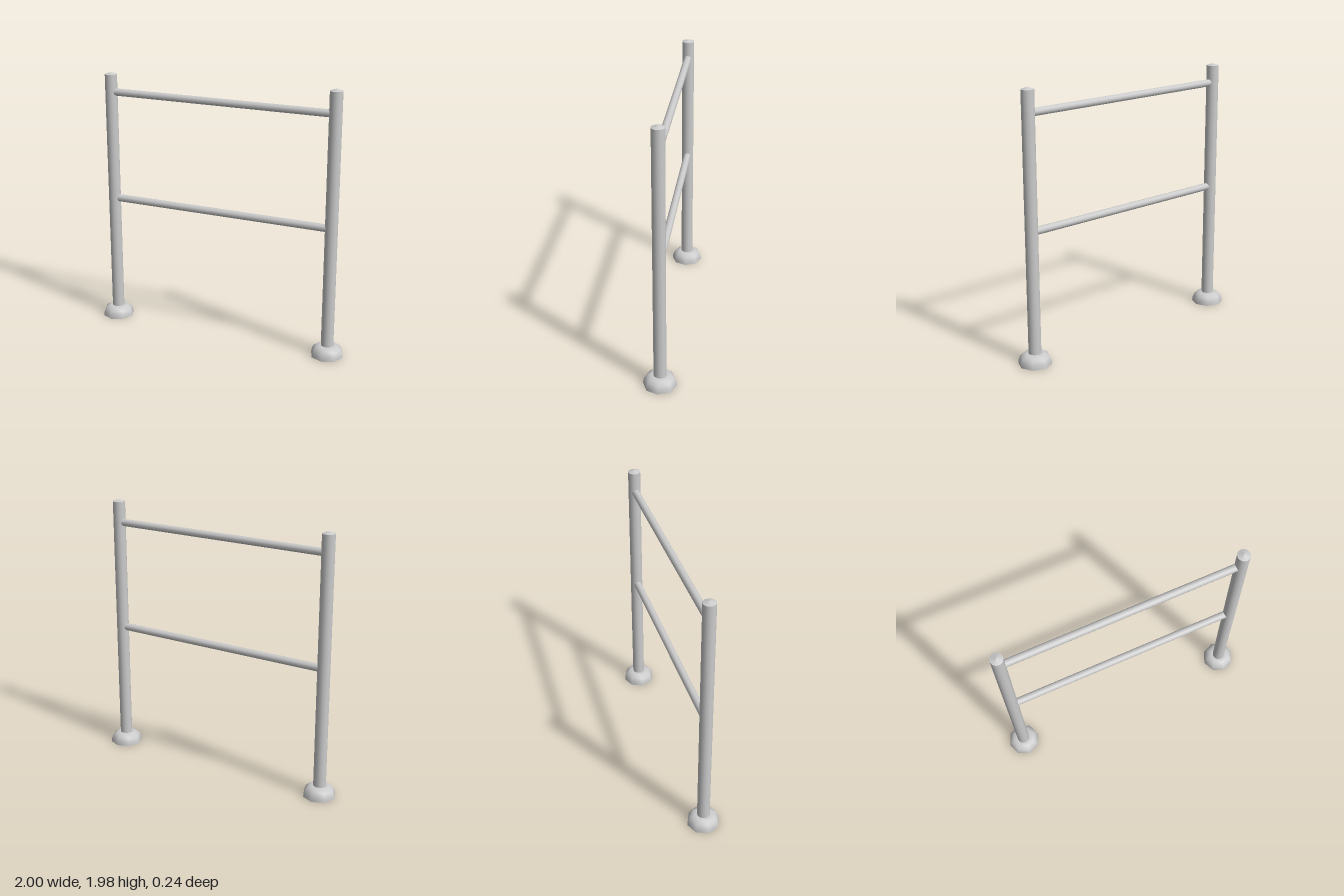
import * as THREE from 'three';

const material = new THREE.MeshStandardMaterial({ color: 0xcccccc });
const POST_X = 0.879, POST_R = 0.046, RAIL_R = 0.028;

function add(parent, geometry, name, x, y) {
  const mesh = new THREE.Mesh(geometry, material);
  mesh.name = name;
  mesh.position.set(x, y, 0);
  parent.add(mesh);
  return mesh;
}

const lathe = (points, sides) =>
  new THREE.LatheGeometry(points.map(([r, y]) => new THREE.Vector2(r, y)), sides);

// Post with a shallow pointed cap and a domed octagonal foot
function makePost(name, x, rimHeight) {
  const post = new THREE.Group();
  post.name = name;
  add(post, new THREE.CylinderGeometry(POST_R, POST_R, rimHeight, 16, 1, true), 'postShaft', x, rimHeight / 2);
  add(post, lathe([[POST_R, 0], [0, 0.015]], 16), 'postCap', x, rimHeight);
  add(post, lathe([[0.121, 0], [0.119, 0.028], [0.106, 0.06], [0.08, 0.078], [0.054, 0.085], [0.04, 0.08]], 8), 'foot', x, 0);
  const sole = add(post, new THREE.CircleGeometry(0.121, 8), 'footSole', x, 0);
  sole.rotation.x = Math.PI / 2;
  return post;
}

export function createModel() {
  const railing = new THREE.Group();
  railing.name = 'railing';
  railing.add(makePost('rightPost', -POST_X, 1.94), makePost('leftPost', POST_X, 1.967));

  // Horizontal rails running into both posts
  for (const [name, y] of [['topRail', 1.808], ['middleRail', 0.981]]) {
    const rail = add(railing, new THREE.CylinderGeometry(RAIL_R, RAIL_R, 2 * POST_X, 12), name, 0, y);
    rail.rotation.z = Math.PI / 2;
  }
  return railing;
}
